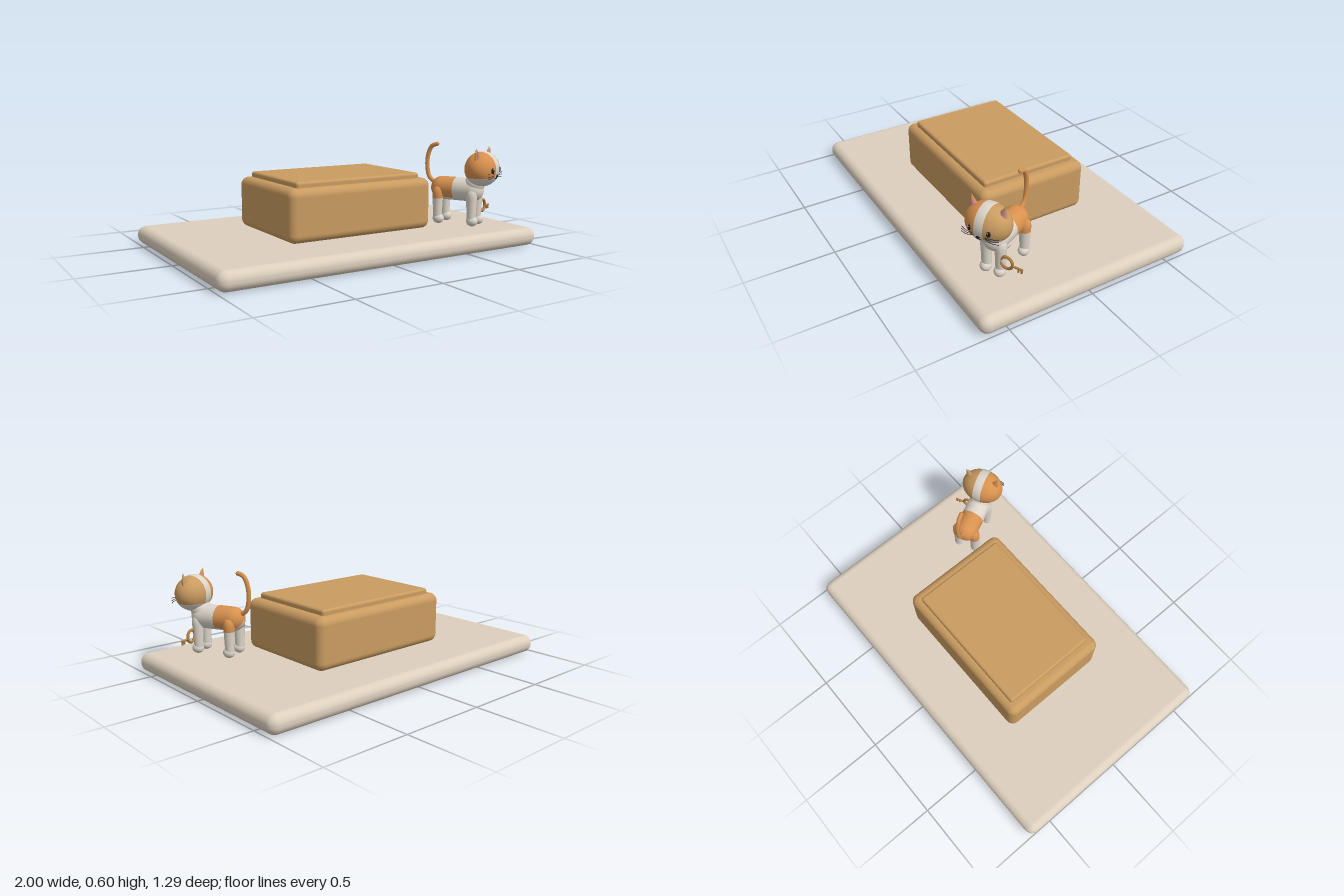
import * as THREE from 'three';
import { RoundedBoxGeometry } from 'three/addons/geometries/RoundedBoxGeometry.js';

const mat = (name, color, side = THREE.FrontSide) => {
  const m = new THREE.MeshStandardMaterial({ color, side });
  m.name = name;
  return m;
};

export function createModel() {
  const stone = mat('pale stone', 0xdccfbd);
  const tan = mat('warm tan', 0xc99b60);
  const orange = mat('orange fur', 0xd8914f);
  const white = mat('white fur', 0xddd5ca);
  const pink = mat('pink ear', 0xc9808a);
  const black = mat('black', 0x1c1a18);
  const brass = mat('brass', 0xb07f42);

  const model = new THREE.Group();
  const add = (parent, name, geo, material, p = [0, 0, 0], s = [1, 1, 1]) => {
    const m = new THREE.Mesh(geo, material);
    m.name = name;
    m.position.set(...p);
    m.scale.set(...s);
    parent.add(m);
    return m;
  };
  const tube = (pts, r, n = 24) => new THREE.TubeGeometry(
    new THREE.CatmullRomCurve3(pts.map(p => new THREE.Vector3(...p))), n, r, 10);
  const ball = (...a) => new THREE.SphereGeometry(1, 32, 20, ...a);
  const lathe = (pts, ...a) => new THREE.LatheGeometry(pts.map(p => new THREE.Vector2(...p)), 36, ...a);

  // Base slab, box and lid
  add(model, 'base', new RoundedBoxGeometry(2, 0.106, 1.29, 6, 0.05), stone, [0, 0.053, 0]);
  add(model, 'box', new RoundedBoxGeometry(0.925, 0.295, 0.655, 6, 0.045), tan, [-0.003, 0.2525, -0.003]);
  add(model, 'lid', new RoundedBoxGeometry(0.805, 0.045, 0.565, 4, 0.015), tan, [-0.003, 0.4085, -0.003]);

  // Cat, facing +z in its own frame
  const cat = new THREE.Group();
  cat.name = 'cat';
  cat.position.set(0.663, 0, 0.318);
  cat.rotation.y = 0.45;
  model.add(cat);

  // Torso: white front, orange rump over a white belly
  const R = 0.069, split = -0.01, rear = [], front = [];
  for (let i = 0; i <= 10; i++) {
    const a = i / 10 * Math.PI / 2;
    rear.push([R * Math.sin(a), -0.1 - R * Math.cos(a)]);
    front.push([R * Math.cos(a), 0.09 + R * Math.sin(a)]);
  }
  rear.push([R, split]);
  front.unshift([R, split]);
  const alongZ = (pts, ...a) => lathe(pts, ...a).rotateX(Math.PI / 2);
  const half = 2.35;
  const bodyAt = [0, 0.322, 0];
  add(cat, 'chest', alongZ(front), white, bodyAt);
  add(cat, 'rump', alongZ(rear, Math.PI - half, 2 * half), orange, bodyAt);
  add(cat, 'belly', alongZ(rear, Math.PI + half, 2 * (Math.PI - half)), white, bodyAt);
  add(cat, 'neck', ball(), white, [0, 0.36, 0.105], [0.062, 0.055, 0.06]);

  // Legs and paws
  const legGeo = lathe([[0.026, 0.13], [0.027, 0.18], [0.029, 0.23], [0.031, 0.265]]);
  const thighGeo = lathe([[0.031, 0.265], [0.033, 0.29], [0.03, 0.315], [0.018, 0.333], [0, 0.338]]);
  for (const side of [-1, 1]) {
    for (const [name, x, z, top] of [['front', 0.042, 0.105, white], ['back', 0.055, -0.105, orange]]) {
      add(cat, name + 'Leg', legGeo, white, [side * x, 0, z]);
      add(cat, name + 'LegTop', thighGeo, top, [side * x, 0, z]);
      add(cat, name + 'Paw', ball(), white, [side * x, 0.142, z + 0.006], [0.031, 0.03, 0.034]);
    }
  }

  // Tail
  add(cat, 'tail', tube([[0, 0.345, -0.14], [0, 0.38, -0.187], [0, 0.45, -0.204],
    [0, 0.525, -0.197], [0, 0.57, -0.174], [0, 0.583, -0.142]], 0.013, 40), orange);
  add(cat, 'tailTip', ball(), orange, [0, 0.583, -0.142], [0.013, 0.013, 0.013]);

  // Head: orange right half, tan left half, white chin and central stripe
  const head = new THREE.Group();
  head.name = 'head';
  head.position.set(0, 0.451, 0.148);
  cat.add(head);
  const size = [0.125, 0.102, 0.097], chin = Math.acos(-0.46);
  const onFace = (x, y) => size[2] * Math.sqrt(1 - (x / size[0]) ** 2 - (y / size[1]) ** 2);
  add(head, 'headRight', ball(-Math.PI / 2, Math.PI, 0, chin), orange, [0, 0, 0], size);
  add(head, 'headLeft', ball(Math.PI / 2, Math.PI, 0, chin), tan, [0, 0, 0], size);
  add(head, 'chin', ball(0, 2 * Math.PI, chin, Math.PI - chin), white, [0, 0, 0], size);
  const band = [-0.2, -0.1, 0, 0.1, 0.2].map(t => [Math.sqrt(1 - t * t), t]);
  add(head, 'stripe', lathe(band).rotateZ(Math.PI / 2), white, [0, 0, 0], size.map(v => v * 1.012));

  // Ears, eyes and whiskers on both sides
  for (const side of [-1, 1]) {
    const ear = new THREE.Group();
    ear.name = 'ear';
    ear.position.set(side * 0.085, 0.08, 0);
    ear.rotation.z = -side * 0.3;
    head.add(ear);
    add(ear, 'earOuter', new THREE.ConeGeometry(0.038, 0.1, 24), side < 0 ? orange : tan, [0, 0, 0], [1, 1, 0.55]);
    add(ear, 'earInner', new THREE.ConeGeometry(0.029, 0.08, 24), pink, [0, -0.002, 0.008], [1, 1, 0.55]);

    const ex = side * 0.055;
    const eye = add(head, 'eye', ball(), black, [ex, -0.003, onFace(ex, 0)], [0.011, 0.016, 0.005]);
    eye.rotation.y = side * 0.45;
    add(head, 'eyeGlint', ball(), white, [ex - 0.003, 0.004, onFace(ex, 0) + 0.005], [0.0035, 0.0035, 0.002]);

    for (let i = -1; i <= 1; i++) {
      const y = -0.034 + i * 0.008, x = side * 0.035;
      add(head, 'whisker', tube([[x, y, onFace(x, y)], [side * 0.07, y + i * 0.003, 0.09],
        [side * 0.108, y + i * 0.007, 0.078]], 0.0013, 8), black);
    }
    const mouth = [[0, -0.042], [side * 0.004, -0.051], [side * 0.011, -0.052], [side * 0.017, -0.046]];
    add(head, 'mouth', tube(mouth.map(([x, y]) => [x, y, onFace(x, y) + 0.002]), 0.0015, 12), black);
  }
  add(head, 'nose', ball(), black, [0, -0.035, onFace(0, -0.035) + 0.002], [0.01, 0.007, 0.006]);

  // Key beside the front leg
  const key = new THREE.Group();
  key.name = 'key';
  key.position.set(0.088, 0.221, 0.122);
  cat.add(key);
  add(key, 'keyRing', new THREE.TorusGeometry(0.034, 0.008, 12, 36), brass);
  add(key, 'keyShaft', new THREE.CylinderGeometry(0.006, 0.006, 0.06, 12).rotateZ(Math.PI / 2), brass, [0.062, -0.008, 0]);
  for (const x of [0.068, 0.086])
    add(key, 'keyTooth', new THREE.BoxGeometry(0.009, 0.02, 0.008), brass, [x, -0.019, 0]);

  return model;
}
